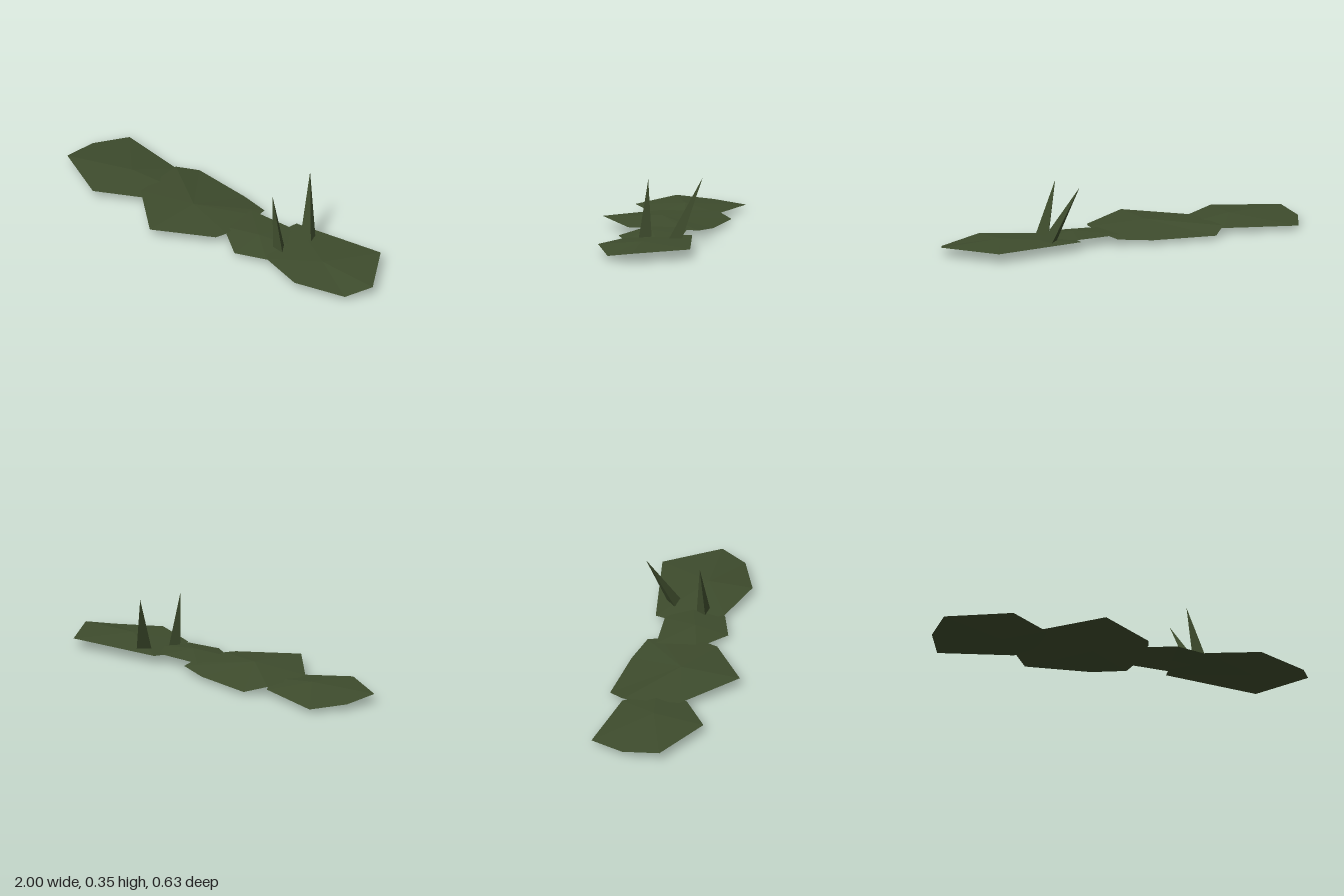
import * as THREE from 'three';

const green = new THREE.MeshStandardMaterial({ color: 0x3e4c2d, flatShading: true });
green.name = 'moss green';

// Faceted solid: a closed rim (clockwise from above) joined to a top and a bottom point
function facetedSolid(name, rim, top, bottom) {
  const points = [];
  rim.forEach((a, i) => {
    const b = rim[(i + 1) % rim.length];
    points.push(...top, ...b, ...a, ...bottom, ...a, ...b);
  });
  const geometry = new THREE.BufferGeometry();
  geometry.setAttribute('position', new THREE.Float32BufferAttribute(points, 3));
  geometry.computeVertexNormals();
  const mesh = new THREE.Mesh(geometry, green);
  mesh.name = name;
  return mesh;
}

// Thin triangular thorn leaning from its base to its tip
function thorn(name, base, tip) {
  const centre = [0, 1, 2].map((k) => (base[0][k] + base[1][k] + base[2][k]) / 3);
  return facetedSolid(name, base, tip, centre);
}

export function createModel() {
  const group = new THREE.Group();
  group.name = 'flatPadPlant';

  // Four overlapping flat pads
  group.add(
    facetedSolid('rightEndPad', [
      [-1, 0.03, -0.13], [-0.91, 0.02, -0.31], [-0.52, 0.032, -0.235],
      [-0.4, 0.04, -0.08], [-0.46, 0.035, 0.09], [-0.68, 0.044, 0.225], [-1, 0.047, 0.065],
    ], [-0.65, 0.062, -0.04], [-0.66, 0.008, -0.02]),
    facetedSolid('largePad', [
      [-0.52, 0.045, -0.23], [-0.435, 0.018, -0.317], [-0.09, 0.022, -0.28],
      [0.085, 0.035, -0.235], [0.1, 0.04, -0.17], [0.1, 0.045, 0.07], [0.08, 0.042, 0.13],
      [-0.21, 0.052, 0.312], [-0.5, 0.045, 0.06],
    ], [-0.19, 0.068, 0], [-0.18, 0, 0.01]),
    facetedSolid('smallPad', [
      [0.04, 0.045, 0.03], [0.045, 0.045, -0.18], [0.29, 0.045, -0.19],
      [0.46, 0.04, -0.08], [0.4, 0.03, 0.1], [0.23, 0.022, 0.155],
    ], [0.24, 0.056, -0.02], [0.25, 0.013, 0]),
    facetedSolid('leftEndPad', [
      [0.27, 0.035, -0.06], [0.3, 0.045, -0.24], [0.81, 0.05, -0.317],
      [1, 0.049, -0.045], [0.93, 0.024, 0.09], [0.67, 0.044, 0.185], [0.4, 0.035, 0.1],
    ], [0.66, 0.062, -0.04], [0.69, 0.01, -0.02]),
  );

  // Two upright thorns
  group.add(
    thorn('backThorn',
      [[0.4, 0.045, -0.16], [0.455, 0.045, -0.213], [0.483, 0.045, -0.147]],
      [0.34, 0.347, -0.3]),
    thorn('frontThorn',
      [[0.36, 0.045, 0.005], [0.39, 0.045, -0.045], [0.432, 0.045, 0.014]],
      [0.335, 0.331, -0.018]),
  );
  return group;
}
